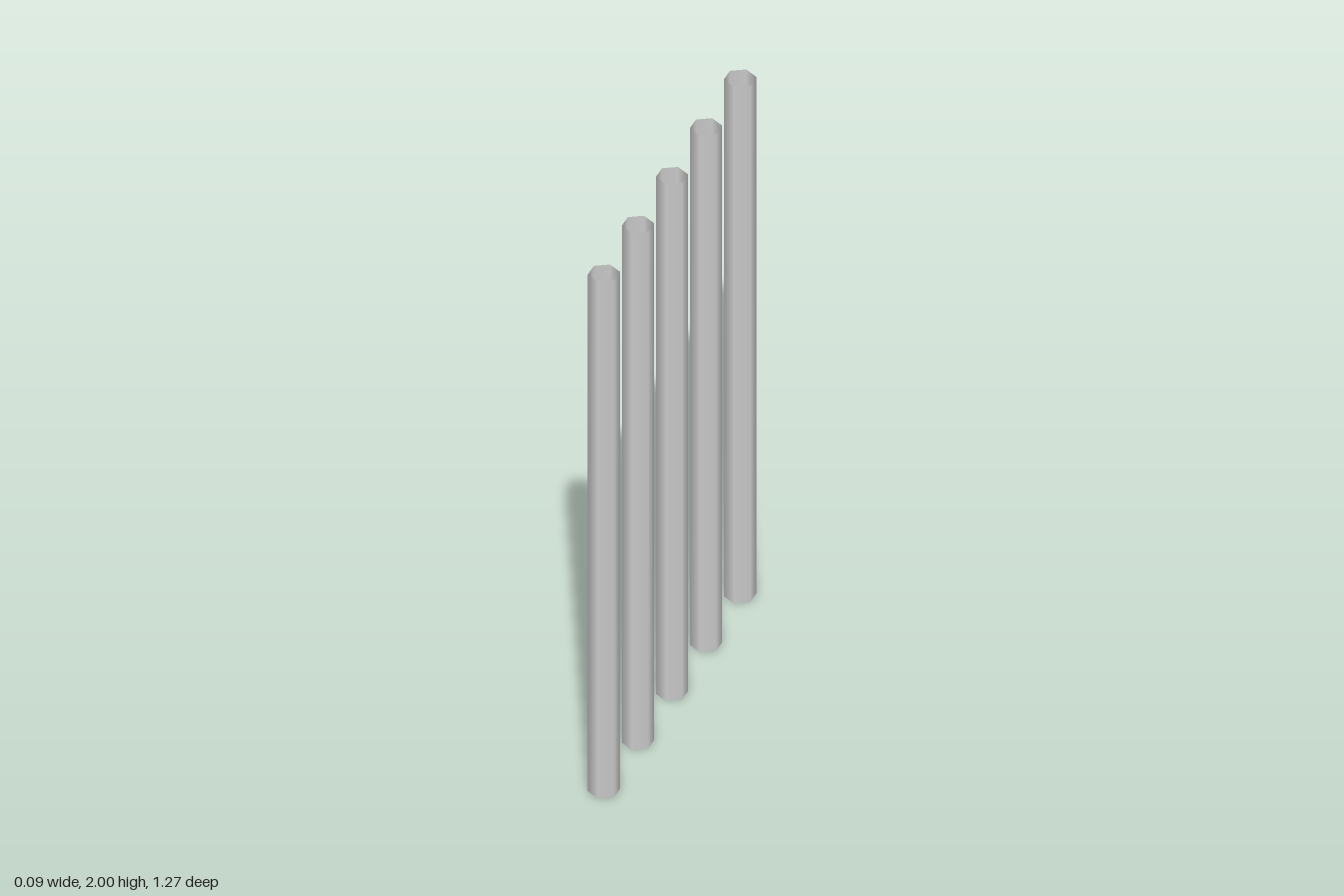
import * as THREE from 'three';

export function createModel() {
  const group = new THREE.Group();
  const material = new THREE.MeshStandardMaterial({ color: 0xcccccc, side: THREE.DoubleSide });

  // Open six-sided bar, corners toward the front and back
  const barGeometry = new THREE.CylinderGeometry(0.052, 0.052, 2, 6, 1, true);

  // Row of five evenly spaced upright bars
  const count = 5;
  const spacing = 0.2915;
  for (let i = 0; i < count; i++) {
    const bar = new THREE.Mesh(barGeometry, material);
    bar.name = `bar${i + 1}`;
    bar.position.set(0, 1, (i - (count - 1) / 2) * spacing);
    group.add(bar);
  }

  group.name = 'bars';
  return group;
}
